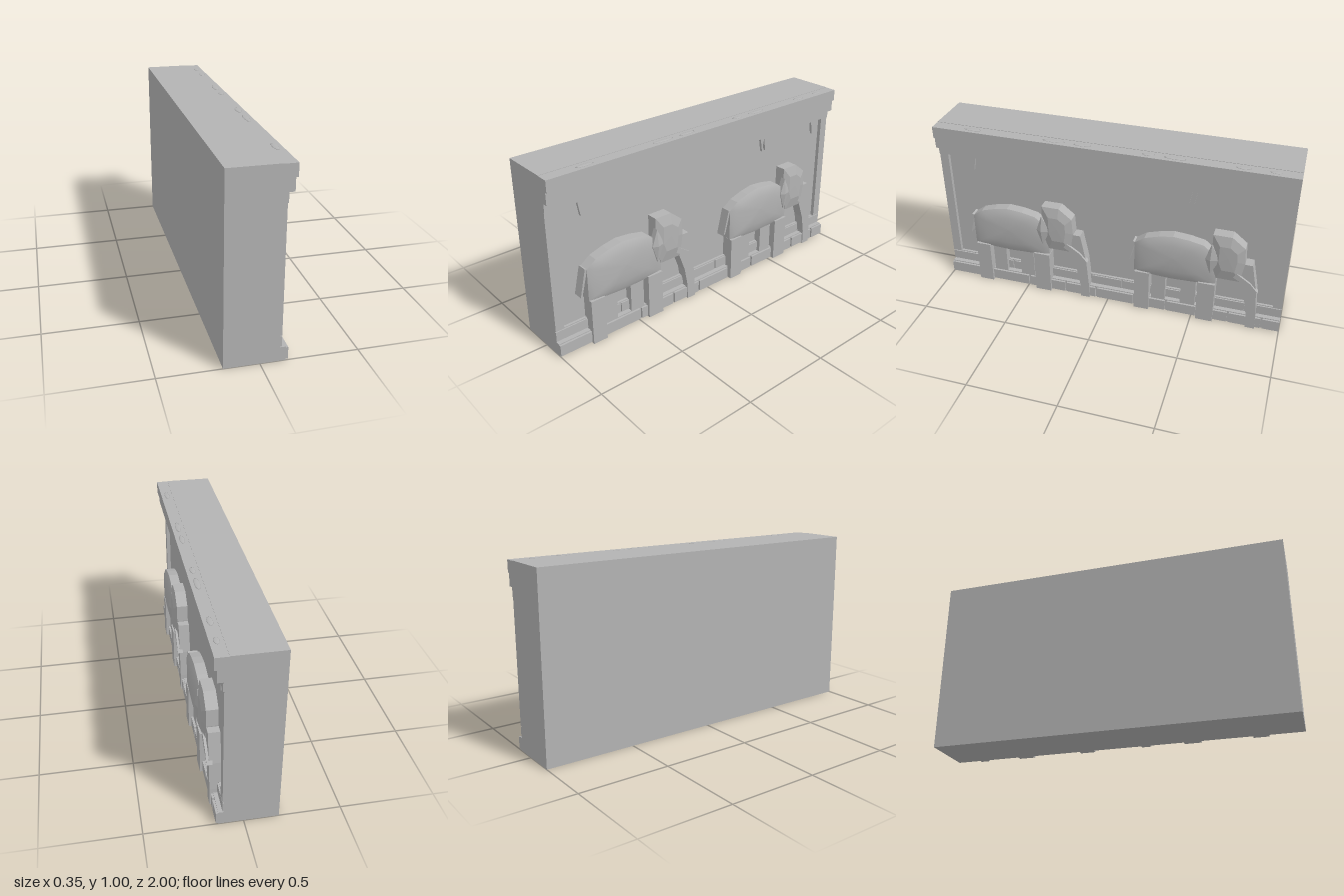
import * as THREE from 'three';

const stone = new THREE.MeshStandardMaterial({ color: 0xb3b3b3 });
stone.name = 'grey stone';

const WALL = 0.085; // depth of the recessed panel

function add(parent, name, geometry) {
  const mesh = new THREE.Mesh(geometry, stone);
  mesh.name = name;
  parent.add(mesh);
  return mesh;
}

// Block from two corners
function block(parent, name, x0, x1, y0, y1, z0, z1) {
  const g = new THREE.BoxGeometry(x1 - x0, y1 - y0, z1 - z0);
  g.translate((x0 + x1) / 2, (y0 + y1) / 2, (z0 + z1) / 2);
  return add(parent, name, g);
}

// Flat outline pushed out from depth z0 to z1
function plate(parent, name, pts, z0, z1) {
  const shape = new THREE.Shape(pts.map(([x, y]) => new THREE.Vector2(x, y)));
  const g = new THREE.ExtrudeGeometry(shape, { depth: z1 - z0, bevelEnabled: false });
  g.translate(0, 0, z0);
  return add(parent, name, g);
}

// Domed cap over a counter-clockwise outline; rings are [scale, depth], last one is the apex
function dome(parent, name, pts, centre, rings, smooth) {
  const pos = [], index = [], n = pts.length;
  rings.forEach(([k, z]) => pts.forEach(([x, y]) =>
    pos.push(centre[0] + (x - centre[0]) * k, centre[1] + (y - centre[1]) * k, z)));
  for (let r = 0; r < rings.length - 1; r++) {
    for (let i = 0; i < n; i++) {
      const j = (i + 1) % n, a = r * n, b = a + n;
      index.push(a + i, a + j, b + j);
      if (rings[r + 1][0] > 0) index.push(a + i, b + j, b + i);
      else index[index.length - 1] = b + i;
    }
  }
  let g = new THREE.BufferGeometry();
  g.setAttribute('position', new THREE.Float32BufferAttribute(pos, 3));
  g.setIndex(index);
  if (!smooth) g = g.toNonIndexed();
  g.computeVertexNormals();
  return add(parent, name, g);
}

function createElephant() {
  const e = new THREE.Group();
  e.name = 'elephant';

  // Rounded body
  const body = [[-0.815, 0.265], [-0.7, 0.25], [-0.6, 0.245], [-0.47, 0.25], [-0.35, 0.265],
    [-0.35, 0.4], [-0.375, 0.46], [-0.43, 0.505], [-0.51, 0.522], [-0.6, 0.53],
    [-0.68, 0.515], [-0.76, 0.49], [-0.815, 0.45]];
  plate(e, 'bodySides', body, WALL, 0.142);
  dome(e, 'bodyFront', body, [-0.59, 0.4],
    [[1, 0.142], [0.85, 0.153], [0.6, 0.161], [0.3, 0.165], [0, 0.166]], true);

  // Near legs, then far legs behind them
  for (const [a, b] of [[-0.81, -0.725], [-0.445, -0.35]]) block(e, 'nearLeg', a, b, 0, 0.26, WALL, 0.155);
  for (const [a, b] of [[-0.715, -0.635], [-0.545, -0.46]]) block(e, 'farLeg', a, b, 0.07, 0.26, WALL, 0.128);

  // Faceted head
  const head = [[-0.35, 0.31], [-0.22, 0.31], [-0.2, 0.435], [-0.206, 0.53], [-0.28, 0.59], [-0.383, 0.59], [-0.383, 0.4]];
  plate(e, 'headSides', head, WALL, 0.148);
  dome(e, 'headFront', head, [-0.29, 0.46], [[1, 0.148], [0.55, 0.164], [0, 0.165]], false);

  // Diamond ear
  const ear = [[-0.383, 0.335], [-0.338, 0.435], [-0.383, 0.53], [-0.415, 0.435]];
  plate(e, 'earSides', ear, 0.13, 0.16);
  dome(e, 'earFront', ear, [-0.385, 0.435], [[1, 0.16], [0, 0.175]], false);

  // Trunk, tusk and tail
  plate(e, 'trunk', [[-0.163, 0], [-0.11, 0], [-0.112, 0.1], [-0.125, 0.26], [-0.158, 0.43],
    [-0.245, 0.43], [-0.225, 0.31], [-0.185, 0.2], [-0.165, 0.09]], WALL, 0.147);
  plate(e, 'tusk', [[-0.255, 0.34], [-0.115, 0.262], [-0.16, 0.315], [-0.24, 0.37]], 0.13, 0.16);
  plate(e, 'tail', [[-0.86, 0.3], [-0.845, 0.32], [-0.812, 0.45], [-0.825, 0.455]], WALL, 0.14);
  return e;
}

// One course of bricks with mortar joints between them
function brickRow(parent, name, y0, y1, z0, z1, joints) {
  const edges = [-1, ...joints, 1];
  for (let i = 0; i < edges.length - 1; i++) {
    const a = edges[i] + (i ? 0.006 : 0);
    const b = edges[i + 1] - (i < edges.length - 2 ? 0.006 : 0);
    block(parent, name, a, b, y0, y1, z0, z1);
  }
}

export function createModel() {
  const model = new THREE.Group();
  model.name = 'elephantRelief';
  // The carved face is drawn facing +z, then turned to face +x
  const relief = new THREE.Group();
  relief.name = 'relief';
  relief.rotation.y = Math.PI / 2;
  model.add(relief);

  // Slab and raised frame
  block(relief, 'slab', -1, 1, 0, 1, -0.18, WALL);
  for (const s of [-1, 1]) block(relief, 'framePost', Math.min(s, s * 0.95), Math.max(s, s * 0.95), 0.14, 0.82, WALL, 0.107);

  // Stepped cornice
  block(relief, 'corniceTop', -1, 1, 0.932, 0.998, WALL, 0.152);
  block(relief, 'corniceMiddle', -1, 1, 0.865, 0.932, WALL, 0.14);
  block(relief, 'corniceBottom', -1, 1, 0.815, 0.865, WALL, 0.112);

  // Brick base: mortar beds and two courses
  block(relief, 'lowerMortar', -1, 1, 0, 0.075, WALL, 0.128);
  block(relief, 'upperMortar', -1, 1, 0.075, 0.14, WALL, 0.099);
  brickRow(relief, 'lowerBrick', 0.006, 0.07, 0.12, 0.14,
    [-0.8, -0.49, -0.26, -0.07, 0.16, 0.35, 0.53, 0.71, 0.9]);
  brickRow(relief, 'upperBrick', 0.08, 0.135, 0.09, 0.107,
    [-0.79, -0.6, -0.36, -0.11, 0.08, 0.27, 0.45, 0.62, 0.8]);

  // Two matching elephants
  for (const x of [0, 0.975]) {
    const e = createElephant();
    e.position.x = x;
    relief.add(e);
  }

  // Small hanging spikes under the cornice
  for (const x of [-0.8, 0.445, 0.472, 0.88]) {
    plate(relief, 'spike', [[x, 0.73], [x + 0.015, 0.815], [x - 0.015, 0.815]], WALL, 0.1);
  }

  // Low worn bumps on the top edge
  for (const [x, w] of [[-0.77, 0.05], [-0.3, 0.065], [-0.14, 0.05], [0.22, 0.035], [0.36, 0.06], [0.71, 0.04], [0.87, 0.03]]) {
    const g = new THREE.SphereGeometry(1, 12, 6);
    g.scale(w, 0.003, 0.015);
    g.translate(x, 0.998, 0.118);
    add(relief, 'topBump', g);
  }
  return model;
}
